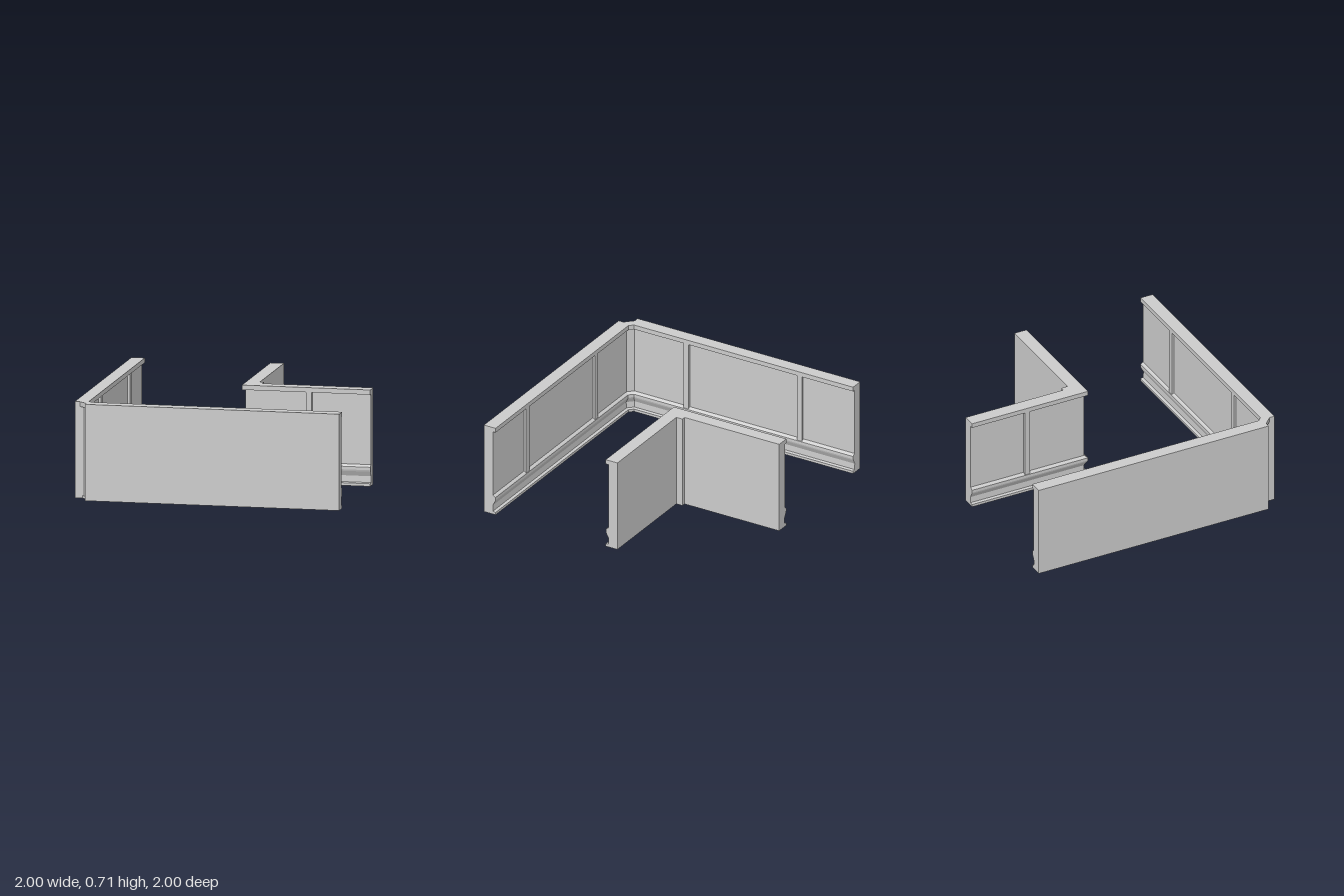
import * as THREE from 'three';

const H = 0.715;
const material = new THREE.MeshStandardMaterial({ color: 0xcccccc, flatShading: true });

// Moulded front of a wall as [depth behind the face, height]
const FACE = [
  [0, 0], [0, 0.02], [0.022, 0.025], [0.024, 0.072], [0.005, 0.108],
  [0.001, 0.12], [0.001, 0.142], [0.007, 0.148], [0.022, 0.158], [0.022, 0.68], [0, 0.68], [0, H],
];
const WALL_BACK = [[0.1, H], [0.1, 0]];

function mesh(name, geometry) {
  const m = new THREE.Mesh(geometry, material);
  m.name = name;
  return m;
}

// Extrude a profile; mitred ends slide along with the depth behind the face
function moulding(points, length, mitreStart, mitreEnd) {
  const shape = new THREE.Shape(points.map(([d, y]) => new THREE.Vector2(d, y)));
  const geo = new THREE.ExtrudeGeometry(shape, { depth: length, bevelEnabled: false });
  const p = geo.attributes.position;
  for (let i = 0; i < p.count; i++) {
    const atEnd = p.getZ(i) > length / 2;
    if (atEnd && mitreEnd) p.setZ(i, length - p.getX(i));
    if (!atEnd && mitreStart) p.setZ(i, p.getX(i));
  }
  geo.computeVertexNormals();
  return geo;
}

// Panelled wall: local x goes into the wall, local z runs along it
function wall(name, x, z, turn, length, dividers, mitreStart = false, mitreEnd = false) {
  const g = new THREE.Group();
  g.name = name;
  g.add(mesh('wallPanel', moulding([...FACE, ...WALL_BACK], length, mitreStart, mitreEnd)));
  for (const t of dividers) {
    const strip = mesh('panelDivider', new THREE.BoxGeometry(0.03, 0.55, 0.043));
    strip.position.set(0.019, 0.412, t);
    g.add(strip);
  }
  g.position.set(x, 0, z);
  g.rotation.y = turn;
  return g;
}

export function createModel() {
  const model = new THREE.Group();
  model.name = 'panelledCorridorCorner';

  // Outer L, panelled on its inside
  model.add(wall('outerSideWall', -0.9, 0.9, Math.PI, 1.9, [0.472, 1.44]));
  model.add(wall('outerFrontWall', 1, 0.9, -Math.PI / 2, 1.9, [0.46, 1.43]));

  // Thin diagonal filler joining the outer walls, with a deeper cap
  const fillerBack = [[0.064, H], [0.064, 0.68], [0.042, 0.68], [0.042, 0.02], [0.05, 0.02], [0.05, 0]];
  const filler = mesh('cornerFiller', moulding([...FACE, ...fillerBack], 0.085).translate(0, 0, -0.0425));
  filler.position.set(-0.885, 0, 0.885);
  filler.rotation.y = -Math.PI * 0.75;
  model.add(filler);

  // Inner L, panelled on its outside and mitred at the corner
  model.add(wall('innerSideWall', 0.04, -1, 0, 0.96, [0.46], false, true));
  model.add(wall('innerFrontWall', 0.04, -0.04, Math.PI / 2, 0.96, [0.5], true, false));

  // Post in the plain corner behind the inner walls
  const post = mesh('cornerPost', new THREE.BoxGeometry(0.03, H, 0.053));
  post.position.set(0.155, H / 2, -0.1665);
  model.add(post);

  return model;
}
